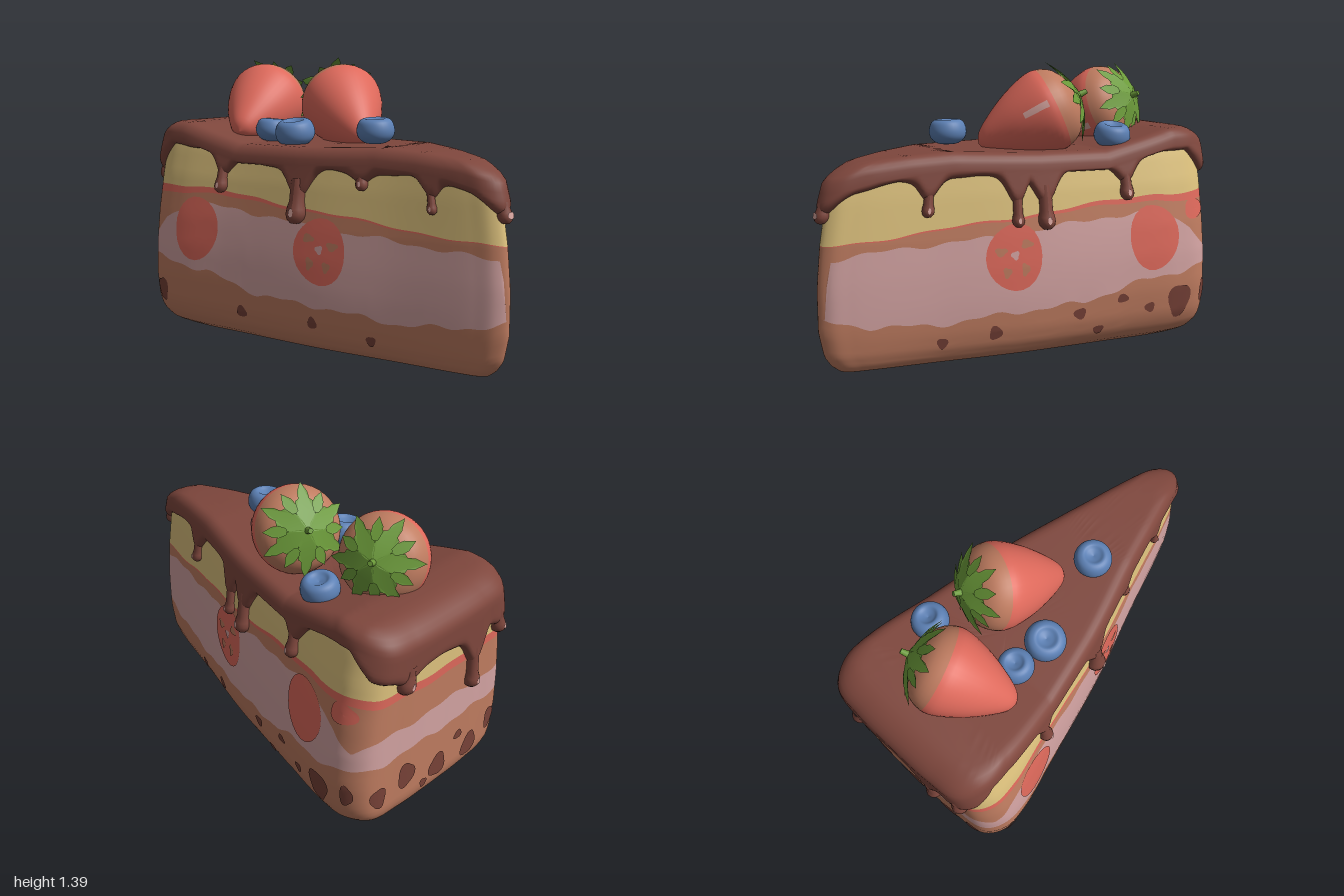
import * as THREE from 'three';

const mat = (name, color, side = THREE.FrontSide) => {
  const m = new THREE.MeshStandardMaterial({ color, side });
  m.name = name;
  return m;
};
const M = {
  chocolate: mat('chocolate', 0x7f473d), sponge: mat('sponge', 0xbf7c60), pink: mat('pink cream', 0xd3a3a2),
  red: mat('strawberry red', 0xde695b), yellow: mat('custard', 0xdfc37e), chip: mat('chocolate chip', 0x784238),
  green: mat('leaf green', 0x6c9b3a, THREE.DoubleSide), blue: mat('blueberry', 0x5c80b4), glint: mat('glint', 0xdba8a2),
};

// Linear lookup in a table of [key, value] pairs with rising keys
function look(table, k) {
  if (k <= table[0][0]) return table[0][1];
  for (let i = 1; i < table.length; i++) {
    const [k0, v0] = table[i - 1], [k1, v1] = table[i];
    if (k <= k1) return v0 + (v1 - v0) * (k - k0) / (k1 - k0);
  }
  return table[table.length - 1][1];
}

// Plan outline of the slice: starts at the tip, runs down the +x side, round the back
const half = [[0.05, 0.965], [0.09, 0.87], [0.205, 0.5], [0.335, 0.1], [0.46, -0.4], [0.53, -0.7], [0.53, -0.84], [0.46, -0.93], [0.28, -0.955]];
const plan = [[0, 1], ...half, [0, -0.96], ...half.map(([x, z]) => [-x, z]).reverse()];
const curve = new THREE.CatmullRomCurve3(plan.map(([x, z]) => new THREE.Vector3(x, 0, z)), true);
curve.arcLengthDivisions = 1200;
const LEN = curve.getLength(), N = 400;
const wrap = (t) => ((t % 1) + 1) % 1;

// Taper of the slice by height
const widthAt = [[0, 0.72], [0.03, 0.84], [0.08, 0.925], [0.15, 0.975], [0.28, 1], [0.45, 0.985], [0.6, 0.95], [0.8, 0.88], [0.93, 0.815], [1, 0.77]];
const frontAt = [[0, 0.9], [0.03, 0.94], [0.08, 0.975], [0.2, 1], [0.4, 1], [0.6, 0.98], [0.8, 0.945], [0.95, 0.9]];
const backAt = [[0, 0.95], [0.05, 0.985], [0.1, 1]];

function onSide(t, y, off = 0) {
  const p = curve.getPointAt(wrap(t)), d = curve.getTangentAt(wrap(t));
  return new THREE.Vector3(p.x * look(widthAt, y) - d.z * off, y, p.z * look(p.z > 0 ? frontAt : backAt, y) + d.x * off);
}

// Position along the outline: face 1 = +x side, -1 = -x side (by z), 0 = back (by x)
function tAt(face, a) {
  let best = 0, err = 9;
  for (let i = 0; i <= 1000; i++) {
    const p = curve.getPointAt(i / 1000);
    if (face ? p.x * face < 0 || p.z < -0.92 : p.z > -0.9) continue;
    const e = Math.abs((face ? p.z : p.x) - a);
    if (e < err) { err = e; best = i / 1000; }
  }
  return best;
}

// Smooth surface from closed rings
function rings(cols, rows, fn) {
  const pos = [], idx = [];
  for (let j = 0; j <= rows; j++)
    for (let i = 0; i < cols; i++) pos.push(...fn(i / cols, j / rows).toArray());
  for (let j = 0; j < rows; j++)
    for (let i = 0; i < cols; i++) {
      const a = j * cols + i, b = j * cols + (i + 1) % cols;
      idx.push(a, b, b + cols, a, b + cols, a + cols);
    }
  const g = new THREE.BufferGeometry();
  g.setAttribute('position', new THREE.Float32BufferAttribute(pos, 3));
  g.setIndex(idx);
  g.computeVertexNormals();
  return g;
}

function add(parent, name, geo, material) {
  const m = new THREE.Mesh(geo, material);
  m.name = name;
  parent.add(m);
  return m;
}

// Thin rounded plate lying on the side of the slice
function patch(parent, name, material, t0, y0, rx, ry, off = 0.005, wob = 0) {
  add(parent, name, rings(24, 4, (u, v) => {
    const a = u * Math.PI * 2, r = (1 - v) * (1 + wob * Math.sin(3 * a + y0 * 60));
    return onSide(t0 + Math.cos(a) * rx * r / LEN, y0 + Math.sin(a) * ry * r, off);
  }), material);
}

// Heights of the top and of the layer boundaries by depth
const topY = [[-1, 1.03], [-0.85, 1.06], [-0.72, 1.06], [-0.55, 1.02], [-0.35, 0.975], [0, 0.98], [0.4, 1], [0.6, 0.99], [0.8, 0.97], [1, 0.92]];
const baseTop = [[-0.9, 0.38], [-0.5, 0.33], [-0.2, 0.25], [0.2, 0.23], [0.5, 0.2], [0.8, 0.22], [1, 0.26]];
const pinkTop = [[-0.96, 0.53], [-0.88, 0.47], [-0.78, 0.58], [-0.6, 0.665], [-0.3, 0.655], [0.2, 0.6], [0.6, 0.58], [1, 0.54]];
const custardLow = [[-0.96, 0.74], [-0.6, 0.75], [-0.2, 0.72], [0.2, 0.68], [0.6, 0.64], [1, 0.6]];
const jam = [[-0.96, 0.045], [-0.6, 0.03], [0, 0.012], [1, 0.003]];
const zOf = (t) => curve.getPointAt(wrap(t)).z;
const edgeY = (t) => look(topY, zOf(t)) - 0.08;
const wave = (t, k, s) => 0.009 * Math.sin(t * 6.2832 * k + s) + 0.006 * Math.sin(t * 6.2832 * (k * 2 + 3) + s * 2);

const L0 = (t) => look(baseTop, zOf(t)) + wave(t, 13, 1);
const L3 = (t) => look(custardLow, zOf(t)) + wave(t, 7, 2) * 0.6;
const L2 = (t) => L3(t) - look(jam, zOf(t));
function L1(t) {
  const p = curve.getPointAt(wrap(t)), low = L0(t);
  const k = p.z > 0.8 ? THREE.MathUtils.smoothstep(Math.abs(p.x - 0.01), 0.022, 0.04) : 1;
  return low + (look(pinkTop, p.z) + wave(t, 11, 4) - low) * k;
}

// Drips: face, place, lowest height, radius
const drips = [
  [1, 0.55, 0.71, 0.03], [1, 0.12, 0.64, 0.03], [1, -0.02, 0.62, 0.042], [1, -0.44, 0.73, 0.035],
  [-1, 0.7, 0.72, 0.024], [-1, 0.01, 0.62, 0.05], [-1, -0.44, 0.73, 0.035], [-1, 0.35, 0.8, 0.03],
  [0, -0.2, 0.53, 0.04], [0, 0.3, 0.73, 0.045], [0, -0.42, 0.74, 0.04], [1, 1, 0.7, 0.035],
].map(([f, a, y, r]) => ({ t: tAt(f, a), y, r }));
const hemBase = [[-0.96, 0.82], [-0.9, 0.84], [-0.8, 0.95], [-0.6, 0.94], [-0.3, 0.89], [0, 0.88], [0.7, 0.88], [0.9, 0.83], [1, 0.78]];
function hem(t) {
  const b = look(hemBase, zOf(t));
  let drop = 0;
  for (const d of drips) {
    let s = Math.abs(wrap(t) - d.t);
    s = Math.min(s, 1 - s) * LEN / (0.03 + d.r);
    drop = Math.max(drop, (b - d.y) * 0.55 * Math.exp(-s * s));
  }
  return b - drop + wave(t, 9, 0) * 0.5;
}

function buildCake() {
  const g = new THREE.Group();
  g.name = 'cakeSlice';
  const centre = new THREE.Vector3(0, 0, -0.25);
  // sponge base with its underside
  add(g, 'spongeBase', rings(N, 18, (t, v) => {
    if (v < 0.2) return onSide(t, 0).lerp(centre, 1 - v / 0.2);
    const k = (v - 0.2) / 0.8;
    return onSide(t, L0(t) * k * k);
  }), M.sponge);
  // stacked layers
  const band = (name, lo, hi, material, rows) => add(g, name, rings(N, rows, (t, v) => onSide(t, lo(t) + (hi(t) - lo(t)) * v)), material);
  band('pinkLayer', L0, L1, M.pink, 6);
  band('middleSponge', L1, L2, M.sponge, 6);
  band('jamLine', L2, L3, M.red, 1);
  band('custardLayer', L3, edgeY, M.yellow, 8);

  // berry slices in the sides
  for (const s of [1, -1]) {
    const t = tAt(s, 0.14), dir = s;
    patch(g, 'berrySlice', M.red, t, 0.5, 0.14, 0.16, 0.004, 0.03);
    for (const [dx, dy, rx, ry] of [[-0.07, 0.03, 0.03, 0.02], [0.05, -0.06, 0.02, 0.03], [0.06, 0.06, 0.03, 0.02], [-0.04, -0.07, 0.02, 0.025]])
      patch(g, 'berrySliceVein', M.sponge, t + dir * dx / LEN, 0.5 + dy, rx, ry, 0.007, 0.2);
    patch(g, 'berrySliceCore', M.pink, t, 0.51, 0.02, 0.02, 0.007, 0.2);
    patch(g, 'berrySlice', M.red, tAt(s, -0.57), 0.54, 0.135, 0.16, 0.004, 0.03);
  }
  patch(g, 'berrySlice', M.red, tAt(1, -0.82), 0.66, 0.07, 0.05, 0.004, 0.1);

  // chocolate chips: face, place, height, half width, half height
  const chips = [
    [1, 0.48, 0.11, 0.027, 0.027], [1, 0.23, 0.14, 0.032, 0.035], [1, -0.18, 0.195, 0.032, 0.028], [1, -0.29, 0.1, 0.028, 0.022],
    [1, -0.4, 0.25, 0.03, 0.022], [1, -0.55, 0.19, 0.027, 0.025], [1, -0.71, 0.21, 0.065, 0.085], [1, -0.87, 0.24, 0.03, 0.06],
    [-1, 0.1, 0.15, 0.025, 0.03], [-1, 0.4, 0.1, 0.025, 0.025], [-1, -0.3, 0.15, 0.03, 0.03], [-1, -0.8, 0.2, 0.04, 0.06],
    [0, 0.4, 0.2, 0.045, 0.06], [0, 0.22, 0.24, 0.055, 0.07], [0, 0.1, 0.12, 0.025, 0.025], [0, 0, 0.17, 0.06, 0.065],
    [0, -0.14, 0.27, 0.03, 0.025], [0, -0.24, 0.16, 0.06, 0.065], [0, -0.4, 0.23, 0.04, 0.06],
  ];
  for (const [f, a, y, rx, ry] of chips) patch(g, 'chocolateChip', M.chip, tAt(f, a), y, rx, ry, 0.005, 0.12);
  return g;
}

function buildGlaze() {
  const g = new THREE.Group();
  g.name = 'glaze';
  const centre = new THREE.Vector3(0, 0, -0.25), rows = 28, wall = 10 / rows;
  add(g, 'glazeCoat', rings(N, rows, (t, v) => {
    const e = edgeY(t), h = Math.min(hem(t), e - 0.015);
    if (v <= wall + 1e-6) { // hanging skirt with a rounded lip
      const k = (v / wall) ** 2, m = 1 - Math.min(1, k * (e - h) / Math.min(0.05, e - h));
      return onSide(t, h + (e - h) * k, -0.006 + 0.042 * Math.sqrt(1 - m * m));
    }
    const q = ((v - wall) / (1 - wall)) ** 1.6, m = 1 - Math.min(1, q / 0.16);
    const p = onSide(t, e, 0.036).lerp(centre, q);
    p.y = look(topY, p.z) - 0.08 * (1 - Math.sqrt(1 - m * m));
    return p;
  }), M.chocolate);

  // drips with a full end, bent to follow the side
  for (const d of drips) {
    const r = d.r, len = Math.max(0.09, hem(d.t) + 0.1 - d.y);
    const prof = [[0, 0], [0.5, 0.13], [0.87, 0.5], [1, 1], [0.93, 1.5], [0.75, 2.2]].map(([x, y]) => new THREE.Vector2(x * r, y * r));
    prof.push(new THREE.Vector2(r * 0.75, Math.max(len * 0.7, r * 2.4)), new THREE.Vector2(r * 0.7, Math.max(len, r * 2.9)));
    const geo = new THREE.LatheGeometry(prof, 16), p = geo.attributes.position, T = curve.getTangentAt(d.t);
    for (let i = 0; i < p.count; i++) {
      const c = onSide(d.t, d.y + p.getY(i), 0.01 + p.getZ(i)).addScaledVector(T, p.getX(i));
      p.setXYZ(i, c.x, c.y, c.z);
    }
    geo.computeVertexNormals();
    add(g, 'drip', geo, M.chocolate);
    patch(g, 'dripGlint', M.glint, d.t, d.y + r * 1.2, r * 0.25, r * 0.45, 0.012 + r);
  }
  return g;
}

const pts = (a) => a.map(([x, y]) => new THREE.Vector2(x, y));

function buildStrawberry(tip, top) {
  const g = new THREE.Group();
  g.name = 'strawberry';
  const a = new THREE.Vector3(...tip), axis = new THREE.Vector3(...top).sub(a);
  g.position.copy(a);
  g.scale.y = axis.length() / 0.5;
  g.quaternion.setFromUnitVectors(new THREE.Vector3(0, 1, 0), axis.normalize());
  const outline = new THREE.SplineCurve(pts([[0, 0], [0.05, 0.025], [0.105, 0.1], [0.16, 0.2], [0.2, 0.31], [0.203, 0.38], [0.165, 0.45], [0.08, 0.495], [0, 0.49]])).getPoints(32);
  outline.forEach((p) => { p.x = Math.max(0, p.x); });
  add(g, 'strawberryBody', new THREE.LatheGeometry(outline.slice(0, 21), 40), M.red);
  add(g, 'strawberryShoulder', new THREE.LatheGeometry(outline.slice(20), 40), M.sponge);
  const shine = outline.slice(13, 19).map((p) => new THREE.Vector2(p.x + 0.004, p.y));
  add(g, 'strawberryGlint', new THREE.LatheGeometry(shine, 4, 0.75, 0.16), M.glint);

  // leafy cap of serrated leaves curving over the shoulder
  const side = [[0.022, 0.03], [0.045, 0.08], [0.036, 0.09], [0.042, 0.13], [0.026, 0.14], [0.024, 0.17]];
  const leaf = new THREE.Shape(pts([[0, 0], ...side, [0, 0.215], ...side.map(([x, y]) => [-x, y]).reverse()]));
  for (let i = 0; i < 12; i++) {
    const geo = new THREE.ShapeGeometry(leaf), p = geo.attributes.position, k = i % 2 ? 1 : 0.88;
    for (let j = 0; j < p.count; j++) {
      const x = p.getX(j), r = p.getY(j) * k;
      p.setXYZ(j, x, 0.52 + (i % 2) * 0.008 - r * r * 1.9 - Math.abs(x) * 0.25, r);
    }
    geo.computeVertexNormals();
    add(g, 'leaf', geo, M.green).rotation.y = i * Math.PI / 6;
  }
  add(g, 'stem', new THREE.CylinderGeometry(0.012, 0.018, 0.05, 10), M.green).position.y = 0.535;
  return g;
}

export function createModel() {
  const model = new THREE.Group();
  model.name = 'cakeSliceWithFruit';
  model.add(buildCake(), buildGlaze());
  model.add(buildStrawberry([0.0, 1.0, 0.14], [0.2, 1.22, -0.29]), buildStrawberry([-0.28, 1.02, -0.47], [0.16, 1.2, -0.66]));

  // dimpled blueberries
  const prof = new THREE.SplineCurve(pts([[0, -0.062], [0.05, -0.056], [0.082, -0.03], [0.09, 0.005], [0.078, 0.043], [0.052, 0.058], [0.03, 0.046], [0, 0.036]])).getPoints(28);
  prof.forEach((p) => { p.x = Math.max(0, p.x); });
  for (const [x, y, z, s, tilt] of [[-0.07, 1.062, 0.27, 1, 0.05], [-0.175, 1.03, -0.17, 1.08, 0.15], [-0.16, 1.03, -0.35, 0.95, -0.1], [0.28, 1.03, -0.46, 1, -0.2]]) {
    const b = add(model, 'blueberry', new THREE.LatheGeometry(prof, 32), M.blue);
    b.position.set(x, y, z);
    b.scale.setScalar(s);
    b.rotation.z = tilt;
  }
  return model;
}
